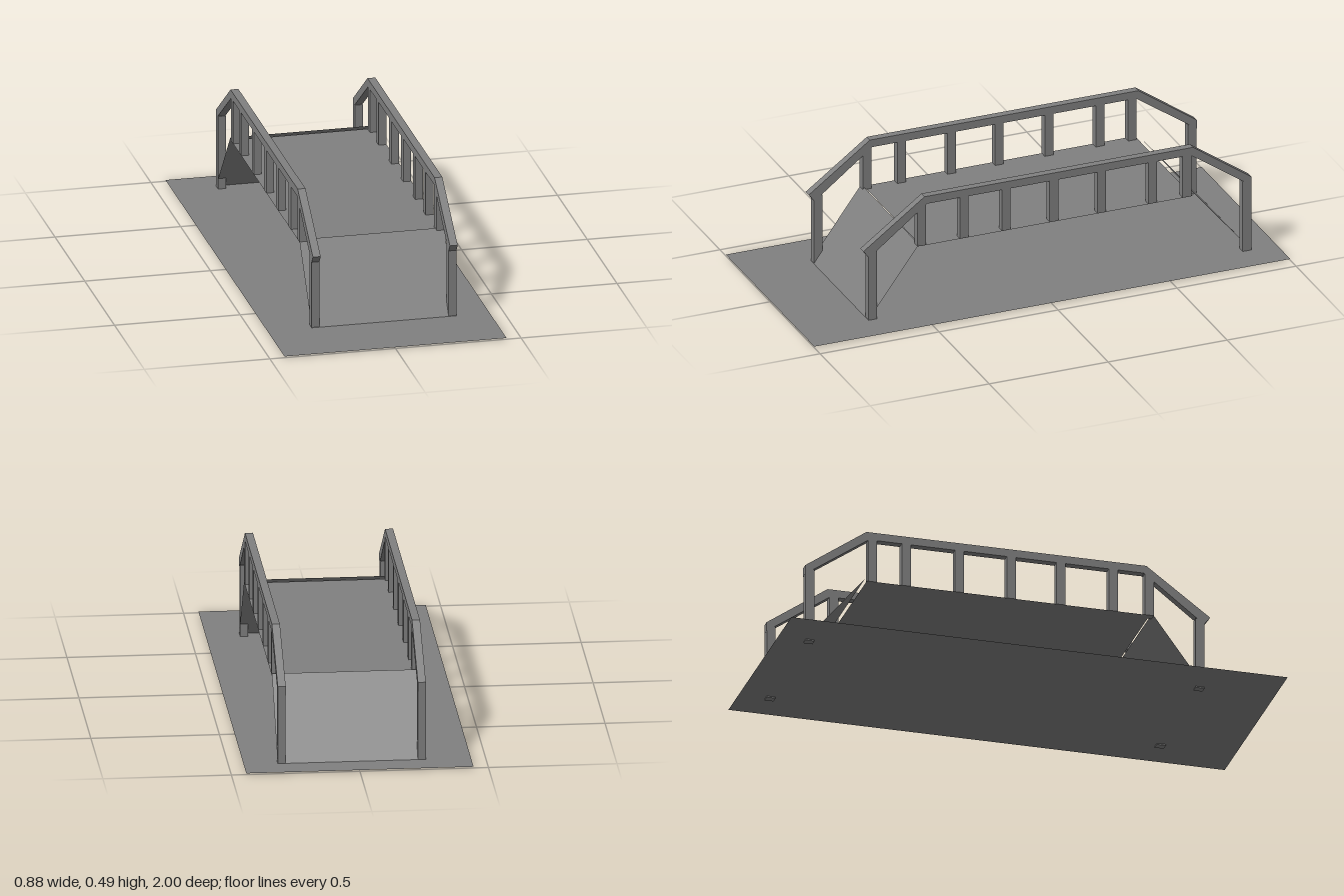
import * as THREE from 'three';

const grey = new THREE.MeshStandardMaterial({ color: 0x808080, side: THREE.DoubleSide });
grey.name = 'grey';

const GROUND_Y = 0.005, DECK_Y = 0.284, RAMP_TOP_Y = 0.293;
const POST_X = 0.031, POST_Z = 0.036;
const BRIDGE_WIDTH = 0.576, BRIDGE_X = 0.022;

function addMesh(parent, name, geometry, x = 0, y = 0, z = 0) {
  const mesh = new THREE.Mesh(geometry, grey);
  mesh.name = name;
  mesh.position.set(x, y, z);
  parent.add(mesh);
  return mesh;
}

// Thin sheet spanning the given width between two (z, y) edges, z0 nearer the front
function sheet(width, z0, y0, z1, y1) {
  const geometry = new THREE.PlaneGeometry(width, Math.hypot(z1 - z0, y1 - y0));
  geometry.rotateX(Math.atan2(z1 - z0, y1 - y0));
  geometry.translate(0, (y0 + y1) / 2, (z0 + z1) / 2);
  return geometry;
}

// Upright post between two heights
function addPost(parent, name, z, bottom, top) {
  addMesh(parent, name, new THREE.BoxGeometry(POST_X, top - bottom, POST_Z), 0, (bottom + top) / 2, z);
}

// Bent handrail cut from its side outline, given as (z, y)
function handrailGeometry() {
  const outline = [
    [0.738, 0.305], [0.481, 0.493], [-0.647, 0.493], [-0.893, 0.32],
    [-0.893, 0.283], [-0.637, 0.461], [0.471, 0.461], [0.714, 0.273],
  ].map(([z, y]) => new THREE.Vector2(-z, y));
  const geometry = new THREE.ExtrudeGeometry(new THREE.Shape(outline), { depth: POST_X, bevelEnabled: false });
  geometry.translate(0, 0, -POST_X / 2);
  geometry.rotateY(Math.PI / 2);
  return geometry;
}

function createRailing(name, x, balusters) {
  const railing = new THREE.Group();
  railing.name = name;
  railing.position.x = x;
  addMesh(railing, 'handrail', handrailGeometry());
  // End posts stand on the ground, balusters on the deck
  addPost(railing, 'frontPost', 0.698, 0, 0.295);
  addPost(railing, 'backPost', -0.874, 0, 0.305);
  for (const z of balusters) addPost(railing, 'baluster', z, 0.284, 0.468);
  return railing;
}

export function createModel() {
  const model = new THREE.Group();
  model.name = 'footbridge';

  addMesh(model, 'ground', sheet(0.884, 1, GROUND_Y, -1, GROUND_Y));

  // Deck and its two steep end ramps
  addMesh(model, 'deck', sheet(BRIDGE_WIDTH, 0.495, DECK_Y, -0.645, DECK_Y), BRIDGE_X);
  addMesh(model, 'frontRamp', sheet(BRIDGE_WIDTH, 0.717, GROUND_Y, 0.505, RAMP_TOP_Y), BRIDGE_X);
  addMesh(model, 'backRamp', sheet(BRIDGE_WIDTH, -0.652, RAMP_TOP_Y, -0.892, GROUND_Y), BRIDGE_X);

  // Railings, with slightly uneven baluster spacing
  model.add(createRailing('leftRailing', 0.294, [0.493, 0.314, 0.137, -0.063, -0.264, -0.478, -0.622]));
  model.add(createRailing('rightRailing', -0.251, [0.493, 0.348, 0.137, -0.063, -0.272, -0.486, -0.622]));

  return model;
}
